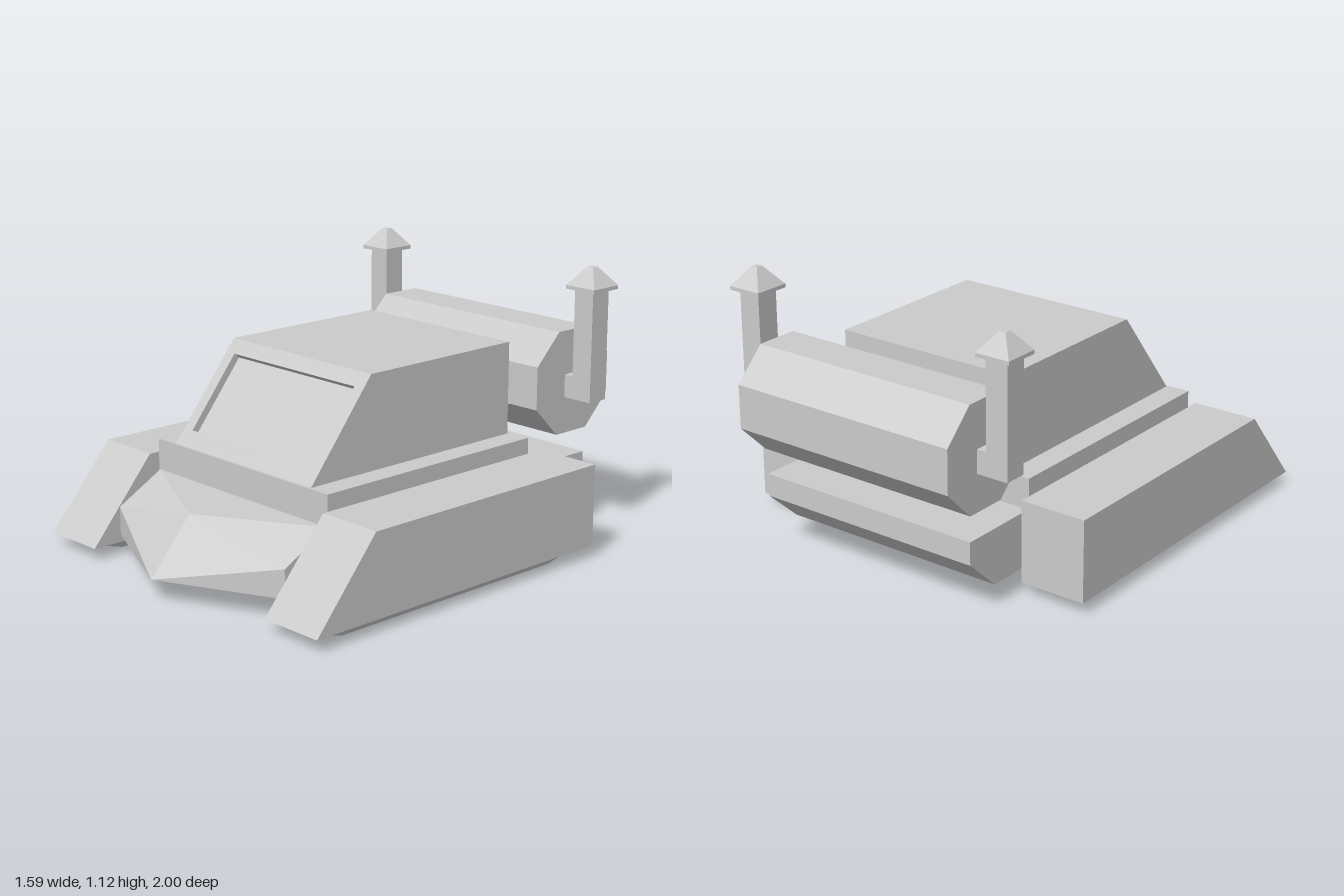
import * as THREE from 'three';
import { ConvexGeometry } from 'three/addons/geometries/ConvexGeometry.js';

const material = new THREE.MeshStandardMaterial({ color: 0xcccccc, flatShading: true });

function add(parent, name, geometry) {
  const mesh = new THREE.Mesh(geometry, material);
  mesh.name = name;
  parent.add(mesh);
  return mesh;
}

// Side profile of [z, y] points, extruded across x from x0 to x1.
function prism(profile, x0, x1, hole) {
  const toPoints = (list) => list.map(([z, y]) => new THREE.Vector2(-z, y));
  const shape = new THREE.Shape(toPoints(profile));
  if (hole) shape.holes.push(new THREE.Path(toPoints(hole)));
  const geometry = new THREE.ExtrudeGeometry(shape, { depth: Math.abs(x1 - x0), bevelEnabled: false });
  return geometry.rotateY(Math.PI / 2).translate(Math.min(x0, x1), 0, 0);
}

// Convex solid from [x, y, z] corners.
const solid = (corners) => new ConvexGeometry(corners.map((c) => new THREE.Vector3(...c)));

// Four corners of a horizontal rectangle.
const rectangle = (x0, x1, y, z0, z1) => [[x0, y, z0], [x1, y, z0], [x1, y, z1], [x0, y, z1]];

function box(x0, x1, y0, y1, z0, z1) {
  return new THREE.BoxGeometry(Math.abs(x1 - x0), y1 - y0, z1 - z0)
    .translate((x0 + x1) / 2, (y0 + y1) / 2, (z0 + z1) / 2);
}

export function createModel() {
  const model = new THREE.Group();
  model.name = 'hoverTruck';

  // Hull with a pointed nose and a chamfered tail
  const hullCorners = [[0, 0.305, 0.81], [0, 0.09, 1]];
  for (const x of [-0.495, 0.495]) {
    hullCorners.push([x, 0.09, 0.77], [x, 0.205, 0.77], [x, 0.318, 0.565],
      [x, 0.318, -0.87], [x, 0.225, -0.87], [x, 0.09, -0.725]);
  }
  add(model, 'hull', solid(hullCorners));
  add(model, 'deck', box(-0.5, 0.5, 0.31, 0.445, -0.525, 0.565));

  // Cabin: a notched middle forms the sunken windscreen, closed by side pillars
  const cabin = new THREE.Group();
  cabin.name = 'cabin';
  model.add(cabin);
  const rear = [[0.25, 0.825], [-0.51, 0.825], [-0.51, 0.445], [0.555, 0.445]];
  const notch = [[0.511, 0.5], [0.4875, 0.481], [0.2665, 0.756], [0.29, 0.775]];
  add(cabin, 'windscreenSection', prism([...rear, ...notch], -0.35, 0.35));
  for (const s of [-1, 1]) add(cabin, 'cabinSide', prism(rear, s * 0.35, s * 0.4));

  // Octagonal boiler across the back
  const boiler = new THREE.CylinderGeometry(0.232, 0.232, 1, 8, 1, false, Math.PI / 8);
  boiler.rotateZ(Math.PI / 2).translate(0, 0.638, -0.785);
  add(model, 'boiler', boiler);

  for (const s of [-1, 1]) {
    const side = new THREE.Group();
    side.name = s > 0 ? 'leftSide' : 'rightSide';
    model.add(side);

    // Side pod with a sunken outer panel
    const pod = [[0.885, 0.05], [0.6, 0.385], [-0.59, 0.385], [-0.59, 0.05]];
    const panel = [[0.77, 0.105], [0.58, 0.33], [-0.535, 0.33], [-0.535, 0.105]];
    add(side, 'podBody', prism(pod, s * 0.515, s * 0.765));
    add(side, 'podRim', prism(pod, s * 0.765, s * 0.795, panel));

    // Tapered skid under the pod
    add(side, 'skid', solid([
      ...rectangle(s * 0.557, s * 0.753, 0.05, -0.55, 0.86),
      ...rectangle(s * 0.579, s * 0.728, 0, -0.405, 0.705),
    ]));

    // Mount between hull and pod
    add(side, 'podMount', prism(
      [[0.68, 0.13], [0.55, 0.28], [-0.49, 0.28], [-0.49, 0.13]], s * 0.49, s * 0.52));

    // Flared duct from cabin to boiler
    add(side, 'duct', solid([0.55, 0.72].flatMap((y) => [
      [s * 0.11, y, -0.505], [s * 0.29, y, -0.505],
      [s * 0.13, y, -0.58], [s * 0.376, y, -0.58],
    ])));

    // Exhaust stack with elbow and pyramid cap
    add(side, 'exhaustElbow', box(s * 0.49, s * 0.54, 0.575, 0.67, -0.833, -0.738));
    add(side, 'exhaustPipe', box(s * 0.54, s * 0.634, 0.575, 1.03, -0.833, -0.738));
    add(side, 'exhaustCapPlate', box(s * 0.514, s * 0.66, 1.03, 1.045, -0.859, -0.712));
    add(side, 'exhaustCap', solid([
      ...rectangle(s * 0.514, s * 0.66, 1.045, -0.859, -0.712),
      ...rectangle(s * 0.573, s * 0.601, 1.12, -0.8, -0.771),
    ]));
  }
  return model;
}
